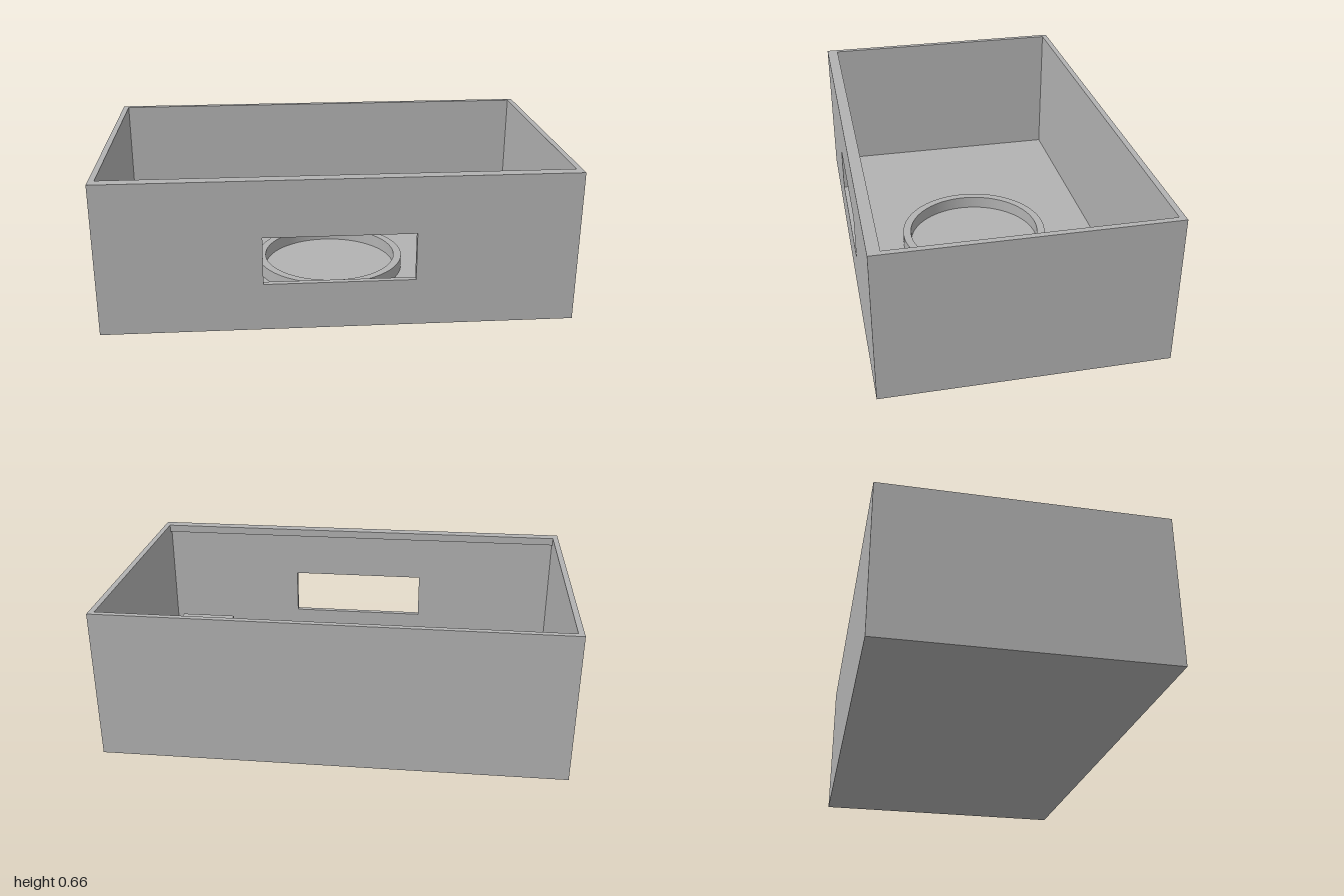
import * as THREE from 'three';

const W = 2, H = 0.66, D = 1.2, T = 0.025; // outer size and wall thickness

// Closed outline of a rectangle, usable as shape or hole
function rect(Kind, x0, y0, x1, y1) {
  const p = new Kind();
  p.moveTo(x0, y0);
  p.lineTo(x1, y0);
  p.lineTo(x1, y1);
  p.lineTo(x0, y1);
  p.closePath();
  return p;
}

// Extrude a plan drawn in x and -z upwards from y0 to y1
function rise(shape, y0, y1) {
  const g = new THREE.ExtrudeGeometry(shape, { depth: y1 - y0, bevelEnabled: false, curveSegments: 48 });
  return g.rotateX(-Math.PI / 2).translate(0, y0, 0);
}

export function createModel() {
  const group = new THREE.Group();
  const grey = new THREE.MeshStandardMaterial({ color: 0xb2b2b2 });
  grey.name = 'grey';
  const add = (name, geometry) => {
    const mesh = new THREE.Mesh(geometry, grey);
    mesh.name = name;
    group.add(mesh);
  };

  // Floor plate
  add('floor', new THREE.BoxGeometry(W, T, D).translate(0, T / 2, 0));

  // Back and side walls as one U-shaped plan, open to the front
  const u = new THREE.Shape();
  const x = W / 2, f = -(D / 2 - T), b = D / 2;
  u.moveTo(-x, f);
  u.lineTo(-x + T, f);
  u.lineTo(-x + T, b - T);
  u.lineTo(x - T, b - T);
  u.lineTo(x - T, f);
  u.lineTo(x, f);
  u.lineTo(x, b);
  u.lineTo(-x, b);
  u.closePath();
  add('backAndSideWalls', rise(u, T, H));

  // Front wall with the rectangular window
  const front = rect(THREE.Shape, -x, T, x, H);
  front.holes.push(rect(THREE.Path, -0.318, 0.207, 0.318, 0.414));
  add('frontWall', new THREE.ExtrudeGeometry(front, { depth: T, bevelEnabled: false }).translate(0, 0, D / 2 - T));

  // Lip along the inside top of the front wall
  add('frontLip', new THREE.BoxGeometry(W - 2 * T, 0.035, T).translate(0, H - 0.0175, D / 2 - 1.5 * T));

  // Low round locating ring on the floor
  const R = 0.34, r = 0.304, y0 = T, y1 = 0.083;
  const profile = [[r, y0], [R, y0], [R, y0], [R, y1], [R, y1], [r, y1], [r, y1], [r, y0]]
    .map(([a, y]) => new THREE.Vector2(a, y));
  const ring = new THREE.Group();
  ring.name = 'floorRing';
  ring.position.z = 0.012;
  for (let i = 0; i < profile.length; i += 2) {
    // Separate bands keep the ring's edges sharp
    const band = new THREE.Mesh(new THREE.LatheGeometry([profile[i], profile[i + 1]], 96), grey);
    band.name = 'ringBand';
    ring.add(band);
  }
  group.add(ring);

  // Square socket in the front corner
  const socket = rect(THREE.Shape, 0.66, -0.532, 0.932, -0.264);
  socket.holes.push(rect(THREE.Path, 0.693, -0.499, 0.899, -0.297));
  add('cornerSocket', rise(socket, T, 0.17));

  return group;
}
